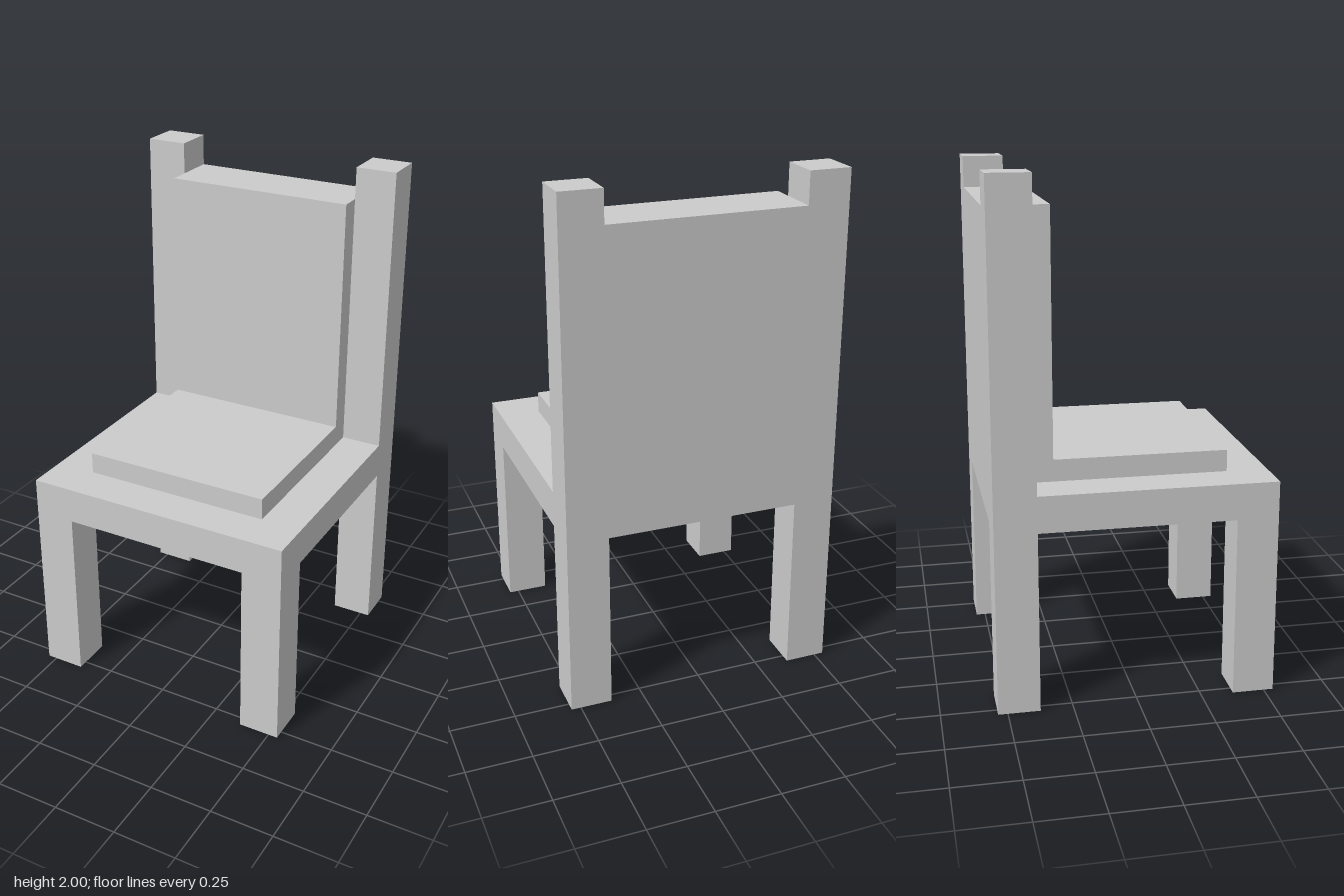
import * as THREE from 'three';

const H = 0.537;        // half width and half depth of the chair
const I = 0.376;        // inner edge of the legs
const SEAT_BOTTOM = 0.71, SEAT_TOP = 0.852;

export function createModel() {
  const chair = new THREE.Group();
  chair.name = 'chair';
  const material = new THREE.MeshStandardMaterial({ color: 0xcccccc, flatShading: true });

  const add = (name, geometry) => {
    const mesh = new THREE.Mesh(geometry, material);
    mesh.name = name;
    chair.add(mesh);
    return mesh;
  };

  // Box given by its limits on each axis
  const box = (name, [x0, x1], [y0, y1], [z0, z1]) =>
    add(name, new THREE.BoxGeometry(x1 - x0, y1 - y0, z1 - z0))
      .position.set((x0 + x1) / 2, (y0 + y1) / 2, (z0 + z1) / 2);

  // Front legs stop under the seat, rear legs run up as back posts
  for (const [side, x] of [['left', [I, H]], ['right', [-H, -I]]]) {
    box(side + 'FrontLeg', x, [0, SEAT_BOTTOM], [I, H]);
    box(side + 'RearPost', x, [0, 2], [-H, -I]);
  }

  // Seat slab, notched at the rear corners around the posts
  const outline = new THREE.Shape([
    [-H, -H], [H, -H], [H, I], [I, I], [I, H], [-I, H], [-I, I], [-H, I],
  ].map(([x, y]) => new THREE.Vector2(x, y)));
  const slab = new THREE.ExtrudeGeometry(outline, { depth: SEAT_TOP - SEAT_BOTTOM, bevelEnabled: false });
  add('seat', slab.rotateX(-Math.PI / 2)).position.y = SEAT_BOTTOM;

  // Thick back panel between the posts, and the cushion in front of it
  box('backrest', [-I, I], [SEAT_TOP, 1.877], [-H, -0.293]);
  box('cushion', [-I, I], [SEAT_TOP, 0.937], [-0.293, I]);

  return chair;
}
